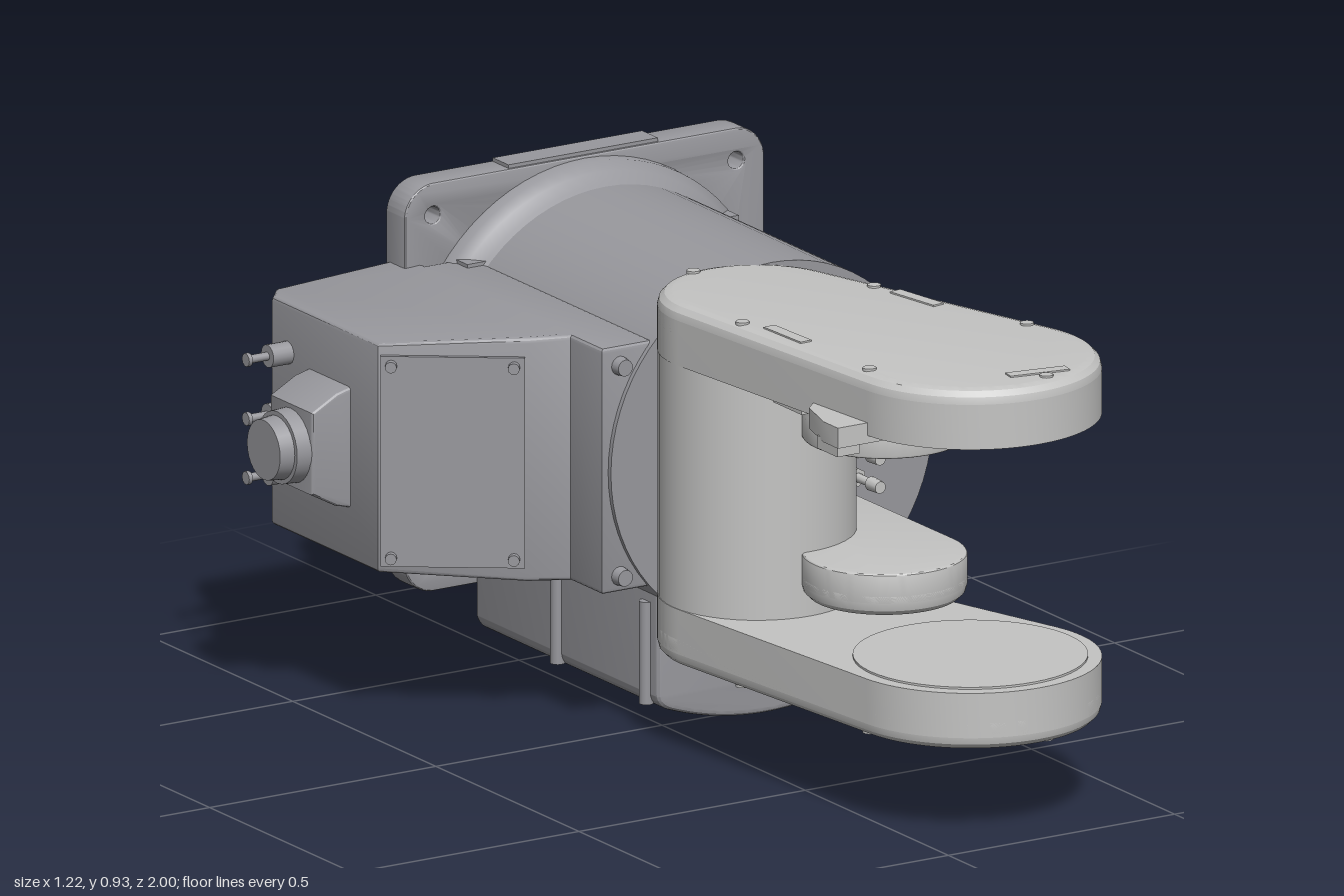
import * as THREE from 'three';
import { toCreasedNormals } from 'three/addons/utils/BufferGeometryUtils.js';

const mat = (name, color) => {
  const m = new THREE.MeshStandardMaterial({ color });
  m.name = name;
  return m;
};

export function createModel() {
  const light = mat('light grey casting', 0xc4c4c3);
  const body = mat('mid grey housing', 0x98989d);
  const CX = 0.205, CY = 0.53; // main axis
  const root = new THREE.Group();
  root.name = 'robotWrist';

  const add = (name, geo, material, x = 0, y = 0, z = 0) => {
    const mesh = new THREE.Mesh(geo, material);
    mesh.name = name;
    mesh.position.set(x, y, z);
    root.add(mesh);
    return mesh;
  };
  const box = (name, m, x0, x1, y0, y1, z0, z1) =>
    add(name, new THREE.BoxGeometry(x1 - x0, y1 - y0, z1 - z0), m, (x0 + x1) / 2, (y0 + y1) / 2, (z0 + z1) / 2);
  // cylinder along an axis, from one end coordinate to the other
  const rod = (name, m, axis, r0, r1, a, b, u, v, seg = 16) => {
    const g = new THREE.CylinderGeometry(r1, r0, b - a, seg);
    const c = (a + b) / 2;
    if (axis === 'x') return add(name, g.rotateZ(-Math.PI / 2), m, c, u, v);
    if (axis === 'z') return add(name, g.rotateX(Math.PI / 2), m, u, v, c);
    return add(name, g, m, u, c, v);
  };
  const extrude = (shape, depth, bevel = 0) => new THREE.ExtrudeGeometry(shape, {
    depth: depth - 2 * bevel, curveSegments: 28, bevelEnabled: bevel > 0, bevelSegments: 3,
    bevelSize: bevel, bevelThickness: bevel, bevelOffset: -bevel,
  }).translate(0, 0, bevel);
  // plan shape (x, z) raised from y0 to y1
  const slab = (name, shape, m, y0, y1, bevel = 0) =>
    add(name, toCreasedNormals(extrude(shape, y1 - y0, bevel).rotateX(Math.PI / 2), 0.5), m, 0, y1, 0);
  const poly = (pts) => new THREE.Shape(pts.map(([x, y]) => new THREE.Vector2(x, y)));
  // outline around two circles of different size
  const link = (x1, z1, r1, x2, z2, r2) => {
    const d = Math.hypot(x2 - x1, z2 - z1);
    const a = Math.atan2(z2 - z1, x2 - x1), o = Math.acos((r1 - r2) / d);
    const s = new THREE.Shape();
    s.absarc(x2, z2, r2, a - o, a + o, false);
    s.absarc(x1, z1, r1, a + o, a - o + Math.PI * 2, false);
    s.closePath();
    return s;
  };

  // Main barrel and the flared collar behind it
  rod('barrel', body, 'z', 0.356, 0.356, -0.6, 0.06, CX, CY, 72);
  const collar = new THREE.LatheGeometry(
    [[0.35, 0.51], [0.36, 0.53], [0.375, 0.555], [0.392, 0.57], [0.394, 0.61]].map(([r, y]) => new THREE.Vector2(r, y)), 72);
  collar.rotateX(-Math.PI / 2);
  const collarMat = body.clone();
  collarMat.side = THREE.DoubleSide;
  add('collar', collar, collarMat, CX, CY, 0);

  // Mounting flange with four bolt holes and an open centre
  const h = 0.398, r = 0.065;
  const flange = new THREE.Shape();
  flange.absarc(h - r, h - r, r, 0, Math.PI / 2, false);
  flange.absarc(r - h, h - r, r, Math.PI / 2, Math.PI, false);
  flange.absarc(r - h, r - h, r, Math.PI, Math.PI * 1.5, false);
  flange.absarc(h - r, r - h, r, Math.PI * 1.5, Math.PI * 2, false);
  flange.closePath();
  const hole = (x, y, rad) => flange.holes.push(new THREE.Path().absarc(x, y, rad, 0, Math.PI * 2, true));
  hole(0, 0, 0.33);
  for (const sx of [-1, 1]) for (const sy of [-1, 1]) hole(sx * 0.335, sy * 0.335, 0.016);
  add('flange', toCreasedNormals(extrude(flange, 0.068, 0.006), 0.5), body, CX, CY, -0.662);
  box('flangeTopTab', body, 0.04, 0.37, 0.89, 0.935, -0.655, -0.6);
  for (const sx of [-1, 1]) // corner webs
    box('flangeWeb', body, CX + sx * 0.27 - 0.03, CX + sx * 0.27 + 0.03, 0.74, 0.78, -0.6, -0.53);

  // Rounded belly box
  const belly = new THREE.Shape();
  belly.moveTo(-0.035, 0.28);
  belly.lineTo(-0.035, 0.075);
  belly.quadraticCurveTo(-0.035, 0.05, 0, 0.038);
  belly.quadraticCurveTo(CX, -0.036, 0.415, 0.038);
  belly.quadraticCurveTo(0.45, 0.05, 0.45, 0.075);
  belly.lineTo(0.45, 0.28);
  belly.closePath();
  add('bellyBox', toCreasedNormals(extrude(belly, 0.64, 0.012), 0.5), body, 0, 0, -0.6);
  box('bellyRearStep', body, 0, 0.41, 0.05, 0.16, -0.645, -0.59);
  for (const z of [0, -0.31]) for (const x of [-0.035, 0.45])
    rod('bellyRib', body, 'y', 0.014, 0.014, 0.05, 0.25, x, z, 12);

  // Side housing, slightly narrower towards its outer end
  const side = extrude(poly([[-0.05, 0.05], [-0.165, 0.05], [-0.165, -0.06], [-0.24, -0.09], [-0.47, -0.25],
    [-0.47, -0.62], [-0.44, -0.655], [-0.15, -0.655], [-0.15, -0.59], [-0.05, -0.59]]), 0.48, 0.01);
  side.rotateX(Math.PI / 2).translate(0, 0.24, 0);
  const p = side.attributes.position;
  for (let i = 0; i < p.count; i++) p.setY(i, p.getY(i) * (1 + Math.min(0, p.getX(i) + 0.2) * 0.26));
  add('sideHousing', toCreasedNormals(side, 0.5), body, 0, 0.533, 0);

  // Bolted covers on the sloping and rear faces
  const cover = (name, x, z, angle, w) => {
    const g = new THREE.Group();
    g.name = name;
    g.position.set(x, 0.53, z);
    g.rotation.y = angle;
    const plate = new THREE.Mesh(new THREE.BoxGeometry(w, 0.41, 0.018), body);
    plate.name = 'coverPlate';
    g.add(plate);
    for (const sx of [-1, 1]) for (const sy of [-1, 1]) {
      const s = new THREE.Mesh(new THREE.CylinderGeometry(0.011, 0.011, 0.03, 12).rotateX(Math.PI / 2), body);
      s.name = 'coverScrew';
      s.position.set(sx * (w / 2 - 0.02), sy * 0.187, 0.008);
      g.add(s);
    }
    root.add(g);
  };
  cover('slopedCover', -0.355, -0.17, -0.608, 0.27);
  cover('rearCover', -0.315, -0.655, Math.PI, 0.25);
  for (const y of [0.325, 0.735]) rod('housingBolt', body, 'z', 0.019, 0.016, 0.045, 0.07, -0.125, y);

  // Connector block, main socket and small plugs
  const block = extrude(poly([[-0.46, 0.41], [-0.46, 0.65], [-0.5, 0.64], [-0.555, 0.61], [-0.555, 0.45], [-0.5, 0.42]]), 0.15, 0.008);
  add('connectorBlock', toCreasedNormals(block, 0.4), body, 0, 0, -0.495);
  rod('socketCollar', body, 'x', 0.07, 0.075, -0.585, -0.5, 0.53, -0.42, 28);
  rod('socketTip', body, 'x', 0.058, 0.062, -0.615, -0.58, 0.53, -0.42, 28);
  for (const y of [0.43, 0.545, 0.66]) {
    rod('plugBase', body, 'x', 0.022, 0.022, -0.515, -0.46, y, -0.565);
    rod('plugStem', body, 'x', 0.008, 0.008, -0.56, -0.5, y, -0.565, 10);
    rod('plugHead', body, 'x', 0.013, 0.013, -0.563, -0.555, y, -0.565, 10);
  }

  // Rear joint drum: two half-round cheeks with a waisted core
  const R = 0.328, CZ = -0.67;
  const cheek = new THREE.Shape();
  cheek.absarc(CX, CZ, R, Math.PI, Math.PI * 2, false);
  cheek.closePath();
  slab('drumCheek', cheek, light, 0.28, 0.345, 0.008);
  slab('drumCheek', cheek, light, 0.72, 0.785, 0.008);
  const core = new THREE.Shape();
  core.moveTo(CX - 0.24, -0.58);
  core.lineTo(CX - 0.24, -0.7);
  core.quadraticCurveTo(CX - 0.25, -0.76, CX - Math.cos(0.45) * 0.322, CZ - Math.sin(0.45) * 0.322);
  core.absarc(CX, CZ, 0.322, Math.PI + 0.45, Math.PI * 2 - 0.45, false);
  core.quadraticCurveTo(CX + 0.25, -0.76, CX + 0.24, -0.7);
  core.lineTo(CX + 0.24, -0.58);
  core.closePath();
  slab('drumCore', core, light, 0.33, 0.735);

  // Front fork: mirrored arms and inner fingers about the fork centre
  const FY = 0.5325;
  const arm = link(0.09, 0.19, 0.187, CX, 0.753, 0.246);
  const finger = link(0.3, 0.05, 0.062, 0.21, 0.445, 0.155);
  const screws = [[0.05, 0.03], [-0.05, 0.36], [0.285, 0.29], [-0.01, 0.74], [0.395, 0.65], [0.245, 0.955]];
  const slots = [[-0.02, 0.47, 0.05], [0.31, 0.4, 0.18], [0.245, 0.925, 1.4]];
  for (const s of [1, -1]) {
    const span = (name, shape, a, b, bevel) =>
      slab(name, shape, light, FY + (s > 0 ? a : -b), FY + (s > 0 ? b : -a), bevel);
    span('armPlate', arm, 0.2375, 0.325);
    span('armCover', arm, 0.27, 0.352, 0.027);
    span('fingerPlate', finger, 0.112, 0.175, 0.006);
    span('fingerCover', finger, 0.13, 0.198, 0.026);
    for (const [x, z] of screws)
      rod('armScrew', light, 'y', 0.013, 0.013, FY + s * 0.345 - 0.011, FY + s * 0.345 + 0.011, x, z, 12);
    for (const [x, z, a] of slots)
      add('armSlotRib', new THREE.BoxGeometry(0.025, 0.008, 0.12), light, x, FY + s * 0.351, z).rotation.y = a;
  }
  rod('forkColumn', light, 'y', 0.186, 0.186, 0.28, 0.78, 0.09, 0.19, 48);
  const pad = new THREE.Shape().absarc(CX, 0.753, 0.22, 0, Math.PI * 2, false);
  slab('lowerArmPad', pad, light, 0.29, 0.299);

  // Sensor bracket under the upper arm
  slab('bracket', poly([[-0.105, 0.78], [-0.105, 0.73], [-0.08, 0.64], [-0.03, 0.59], [0.03, 0.6], [0.03, 0.78]]), light, 0.755, 0.795);
  box('bracketFoot', light, -0.1, -0.05, 0.735, 0.76, 0.7, 0.77);
  box('bracketRail', light, -0.04, 0.33, 0.752, 0.775, 0.45, 0.55);
  box('bracketClip', light, 0.3, 0.34, 0.73, 0.775, 0.42, 0.48);

  // Row of fittings on the barrel face
  for (const y of [0.45, 0.505, 0.557, 0.61]) {
    rod('fittingBase', light, 'z', 0.018, 0.018, 0.055, 0.1, 0.37, y, 6);
    rod('fittingStem', light, 'z', 0.009, 0.007, 0.1, 0.165, 0.37, y, 10);
    rod('fittingTip', light, 'z', 0.014, 0.012, 0.145, 0.178, 0.37, y, 10);
  }
  rod('faceScrew', body, 'z', 0.01, 0.01, 0.055, 0.068, 0.545, 0.53, 12);
  return root;
}
